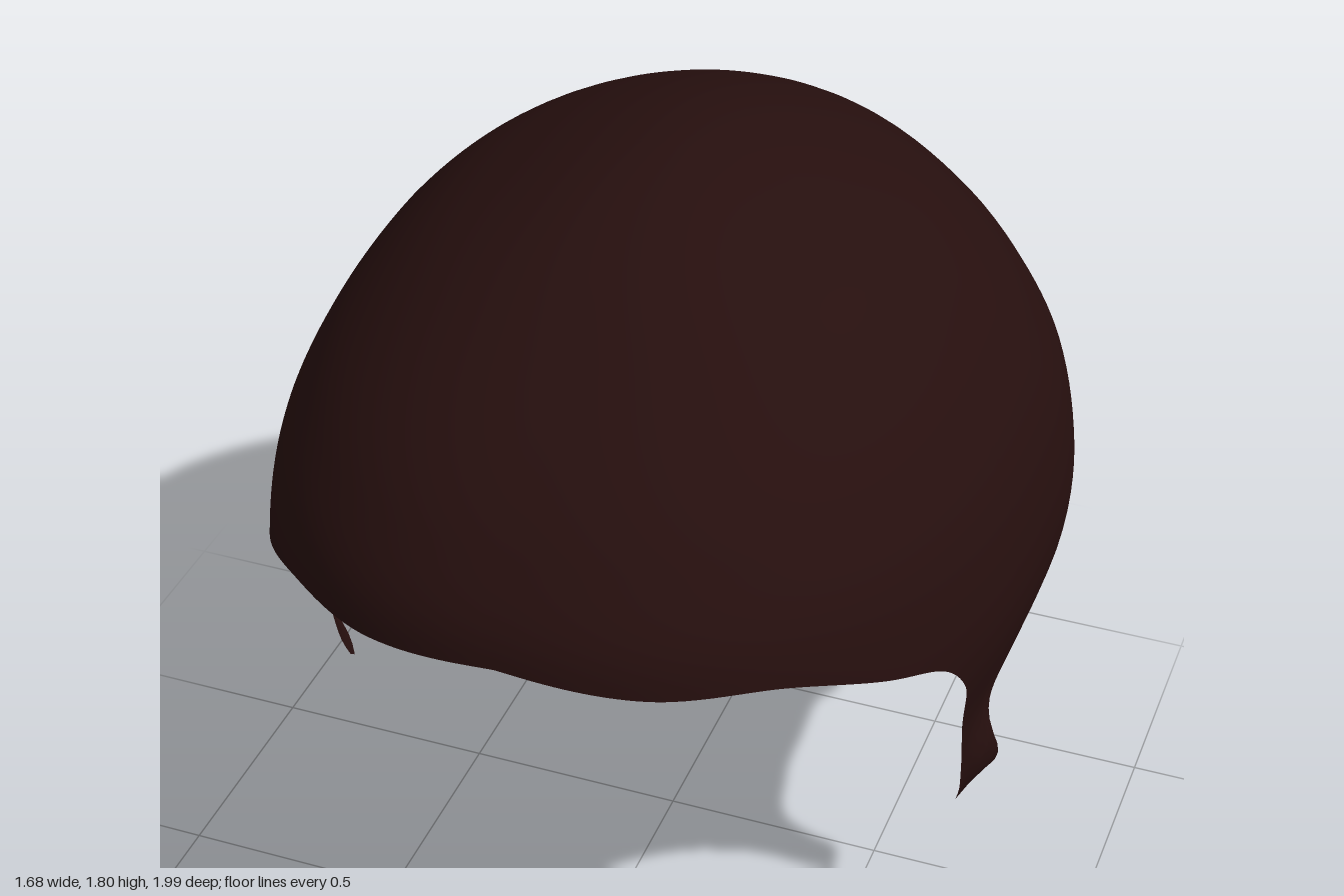
import * as THREE from 'three';
import { mergeVertices } from 'three/addons/utils/BufferGeometryUtils.js';

const TOP = 1.797, ROWS = 48, COLS = 180;

// Level sections of the hair cap: [y, half width, front z, back z, z of widest point]
const LEVELS = [
  [1.797, 0, 0, 0, 0],
  [1.78, 0.13, 0.2, -0.2, -0.01],
  [1.72, 0.3, 0.4, -0.42, -0.04],
  [1.61, 0.5, 0.6, -0.65, -0.08],
  [1.46, 0.655, 0.8, -0.8, -0.11],
  [1.35, 0.73, 0.9, -0.868, -0.13],
  [1.2, 0.8, 0.985, -0.935, -0.15],
  [1.0, 0.838, 1, -0.982, -0.15],
  [0.85, 0.832, 1, -1, -0.15],
  [0.65, 0.785, 1, -0.97, -0.15],
  [0.45, 0.765, 1, -0.93, -0.15],
  [0.34, 0.73, 1, -0.9, -0.15],
  [0.25, 0.66, 1, -0.87, -0.15],
  [0.12, 0.6, 1, -0.8, -0.15],
  [0, 0.55, 1, -0.74, -0.15],
];

// Hem seen from the side, brow to nape: [z, y]
const HEM = [
  [1, 1.155], [0.95, 1.125], [0.8, 1.108], [0.6, 1.02], [0.45, 0.95], [0.35, 0.84],
  [0.3, 0.74], [0.25, 0.62], [0.205, 0.44], [0.175, 0.37], [0.147, 0.42], [0.13, 0.57],
  [0.09, 0.66], [0, 0.71], [-0.05, 0.735], [-0.28, 0.74], [-0.38, 0.65], [-0.47, 0.6],
  [-0.53, 0.47], [-0.59, 0.335], [-0.65, 0.285], [-0.69, 0.13], [-0.725, 0.06], [-0.74, 0],
];

// Smooth interpolation of the levels, spaced by root depth so the crown stays round
const depth = (y) => Math.sqrt(Math.max(0, TOP - y));
function level(y) {
  const u = depth(y), n = LEVELS.length;
  let i = 0;
  while (i < n - 2 && u > depth(LEVELS[i + 1][0])) i++;
  const at = (k) => LEVELS[THREE.MathUtils.clamp(k, 0, n - 1)];
  const p = [at(i - 1), at(i), at(i + 1), at(i + 2)], d = p.map((q) => depth(q[0]));
  const h = d[2] - d[1], f = THREE.MathUtils.clamp((u - d[1]) / h, 0, 1);
  return [1, 2, 3, 4].map((c) => {
    const m1 = (p[2][c] - p[0][c]) / (d[2] - d[0]) * h;
    const m2 = (p[3][c] - p[1][c]) / (d[3] - d[1]) * h;
    const f2 = f * f, f3 = f2 * f;
    return (2 * f3 - 3 * f2 + 1) * p[1][c] + (f3 - 2 * f2 + f) * m1
      + (3 * f2 - 2 * f3) * p[2][c] + (f3 - f2) * m2;
  });
}

// Point on the cap at angle t (0 = front, PI = back) and height y
const power = (front) => (front ? 2.3 : 2);
function capPoint(t, y) {
  const [a, front, back, mid] = level(y);
  const c = Math.cos(t), e = 2 / power(c > 0);
  const reach = c > 0 ? front - mid : mid - back;
  const z = mid + Math.sign(c) * reach * Math.pow(Math.abs(c), e);
  let x = a * Math.pow(Math.max(0, Math.sin(t)), e);
  // The rear edge of each sideburn flares outwards
  if (z > 0) {
    x += 0.05 * Math.exp(-(((y - 0.5) / 0.07) ** 2))
      * (1 - THREE.MathUtils.smoothstep(z, 0.13, 0.22));
  }
  return [x, y, z];
}

// Hem as a smooth curve of angle and height
function hemColumns() {
  const pts = HEM.map(([z, y], i) => {
    const [, front, back, mid] = level(y);
    const isFront = z > mid;
    const r = Math.min(1, Math.abs(z - mid) / (isFront ? front - mid : mid - back));
    let t = Math.acos(Math.pow(r, power(isFront) / 2) * (isFront ? 1 : -1));
    if (i === 0) t = 0;
    if (i === HEM.length - 1) t = Math.PI;
    return new THREE.Vector3(t, y, 0);
  });
  return new THREE.CatmullRomCurve3(pts).getSpacedPoints(COLS);
}

function hairGeometry() {
  const half = hemColumns();
  // Left half front to back, then the mirrored right half back to front
  const columns = half.map((p) => [p, 1])
    .concat(half.slice(0, -1).reverse().map((p) => [p, -1]));
  const pos = [], index = [], stride = ROWS + 1;
  columns.forEach(([p, side], i) => {
    const t = THREE.MathUtils.clamp(p.x, 0, Math.PI);
    for (let j = 0; j <= ROWS; j++) {
      const y = TOP - (TOP - p.y) * Math.pow(j / ROWS, 1.7);
      const [x, py, z] = capPoint(t, y);
      pos.push(t < 1e-6 || t > Math.PI - 1e-6 ? 0 : side * x, py, z);
      if (i === 0 || j === ROWS) continue;
      const a = (i - 1) * stride + j, b = i * stride + j;
      if (j > 0) index.push(a, a + 1, b);
      index.push(b, a + 1, b + 1);
    }
  });
  let g = new THREE.BufferGeometry();
  g.setAttribute('position', new THREE.Float32BufferAttribute(pos, 3));
  g.setIndex(index);
  g = mergeVertices(g, 1e-5);
  g.computeVertexNormals();
  return g;
}

export function createModel() {
  const group = new THREE.Group();
  group.name = 'hairpiece';
  const darkBrown = new THREE.MeshStandardMaterial({ color: 0x260f0e, side: THREE.DoubleSide });
  darkBrown.name = 'dark brown hair';
  const hair = new THREE.Mesh(hairGeometry(), darkBrown);
  hair.name = 'hairCap';
  group.add(hair);
  return group;
}
